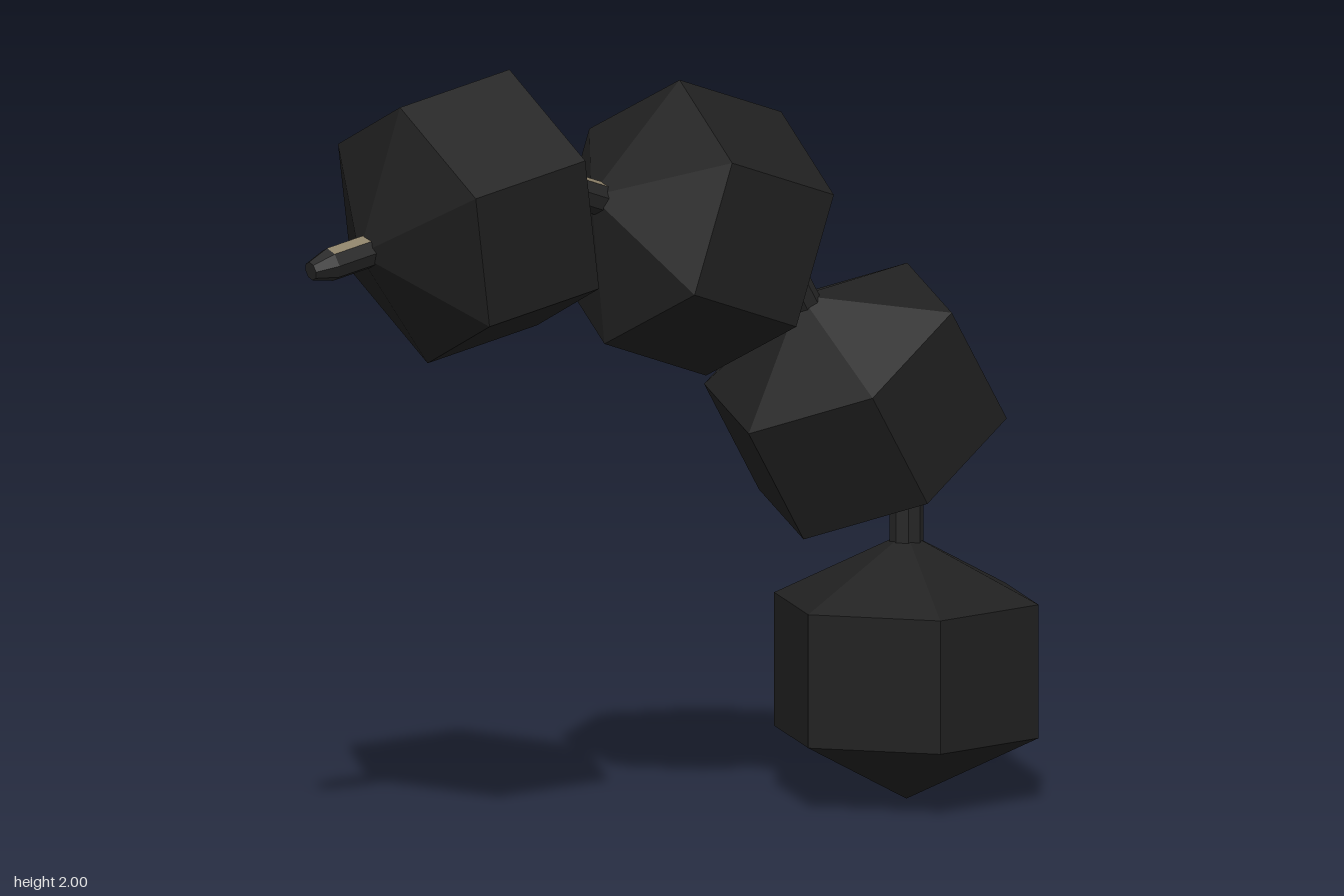
import * as THREE from 'three';

const beadBlack = new THREE.MeshStandardMaterial({ color: 0x202020 });
const pinBlack = new THREE.MeshStandardMaterial({ color: 0x262626 });
const pinTan = new THREE.MeshStandardMaterial({ color: 0x8c8068 });
beadBlack.name = 'beadBlack';
pinBlack.name = 'pinBlack';
pinTan.name = 'pinTan';

// One normal per face for the faceted look
function faceted(geometry) {
  const g = geometry.toNonIndexed();
  g.computeVertexNormals();
  return g;
}

function part(name, geometry, material, y = 0) {
  const mesh = new THREE.Mesh(faceted(geometry), material);
  mesh.name = name;
  mesh.position.y = y;
  return mesh;
}

// Hexagonal bead with pointed ends, and a tapered pin along its axis
function createLink() {
  const link = new THREE.Group();
  const profile = [[0, -0.34], [0.345, -0.17], [0.345, 0.17], [0, 0.34]]
    .map(([x, y]) => new THREE.Vector2(x, y));
  link.add(part('bead', new THREE.LatheGeometry(profile, 6, Math.PI / 2), beadBlack));

  // Eight-sided shaft: three tan facets at the back, five dark ones
  const step = Math.PI / 4;
  const shaft = (sides, start) =>
    new THREE.CylinderGeometry(0.043, 0.043, 0.16, sides, 1, true, start, sides * step);
  link.add(part('pinBack', shaft(3, 2.5 * step), pinTan, 0.35));
  link.add(part('pinFront', shaft(5, 5.5 * step), pinBlack, 0.35));
  link.add(part('pinTip', new THREE.CylinderGeometry(0.024, 0.043, 0.06, 8, 1, false, step / 2), pinBlack, 0.46));
  return link;
}

// Centre, pin axis and side direction of each link, from the ground up
const LINKS = [
  { at: [0.415, 0.345, -0.595], axis: [0, 1, 0], side: [1, 0, 0] },
  { at: [0.31, 1.03, -0.495], axis: [-0.3, 0.85, 0.435], side: [0.95, 0.31, 0.04] },
  { at: [0, 1.525, -0.087], axis: [-0.57, 0.335, 0.75], side: [0.81, 0.45, 0.37] },
  { at: [-0.42, 1.632, 0.503], axis: [-0.63, -0.19, 0.755], side: [0.643, 0.405, 0.654] },
];

export function createModel() {
  const model = new THREE.Group();
  model.name = 'beadChain';
  LINKS.forEach(({ at, axis, side }, i) => {
    const link = createLink();
    link.name = 'link' + (i + 1);
    const y = new THREE.Vector3(...axis).normalize();
    const z = new THREE.Vector3(...side).cross(y).normalize();
    const x = new THREE.Vector3().crossVectors(y, z);
    link.quaternion.setFromRotationMatrix(new THREE.Matrix4().makeBasis(x, y, z));
    link.position.set(...at);
    model.add(link);
  });
  return model;
}
